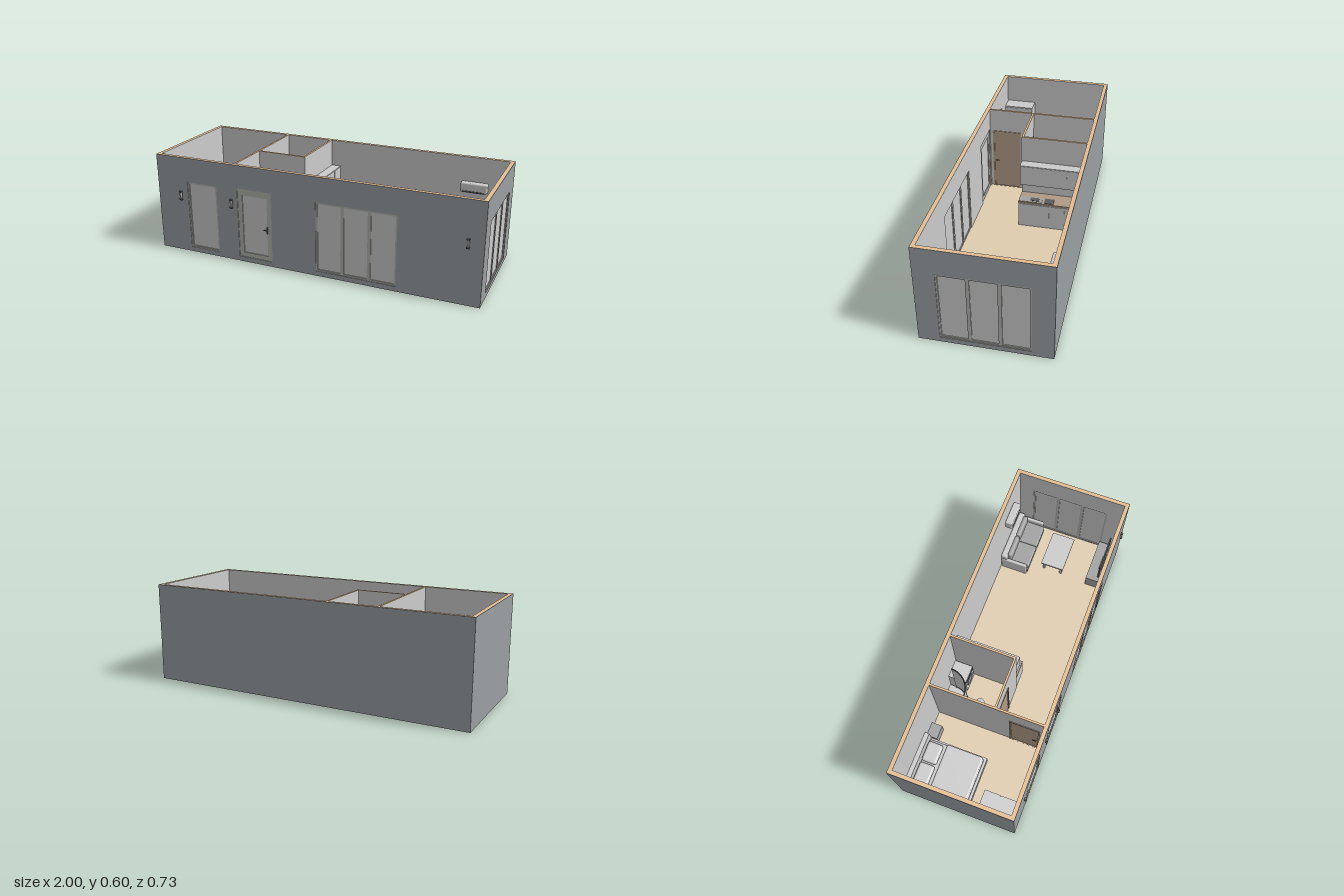
import * as THREE from 'three';
import { RoundedBoxGeometry } from 'three/addons/geometries/RoundedBoxGeometry.js';

const mat = (color) => new THREE.MeshStandardMaterial({ color });
const grey = mat(0xcccccc), cladding = mat(0x9a9fa2), wood = mat(0xe6bd8c), floorWood = mat(0xe0cdb0);
const frameMat = mat(0xb2b4ae), brown = mat(0xb09a86), dark = mat(0x5c5d5e), mid = mat(0xa2a2a2);

const BACK = -0.367, FRONT = 0.353, H = 0.6, FLOOR = 0.03, T = 0.024;

function add(parent, name, geometry, material, x = 0, y = 0, z = 0) {
  const m = new THREE.Mesh(geometry, material);
  m.name = name;
  m.position.set(x, y, z);
  parent.add(m);
  return m;
}

// Box given by its limits; r rounds the edges
function box(parent, name, x0, x1, y0, y1, z0, z1, material = grey, r = 0) {
  const s = [x1 - x0, y1 - y0, z1 - z0];
  const g = r ? new RoundedBoxGeometry(...s, 3, r) : new THREE.BoxGeometry(...s);
  return add(parent, name, g, material, (x0 + x1) / 2, (y0 + y1) / 2, (z0 + z1) / 2);
}

function group(parent, name) {
  const g = new THREE.Group();
  g.name = name;
  parent.add(g);
  return g;
}

// Upright panel with rectangular holes [x0, x1, y0, y1]
function panel(x0, x1, y0, y1, holes, depth) {
  const rect = (C, a, b, c, d) => new C([[a, c], [b, c], [b, d], [a, d]].map(p => new THREE.Vector2(...p)));
  const shape = rect(THREE.Shape, x0, x1, y0, y1);
  holes.forEach(h => shape.holes.push(rect(THREE.Path, ...h)));
  return new THREE.ExtrudeGeometry(shape, { depth, bevelEnabled: false });
}

// Framed glazing filling an opening, with equal panes
function glazing(parent, name, [x0, x1, y0, y1], panes, edge, bar, low = edge, high = edge) {
  const g = group(parent, name);
  const w = (x1 - x0 - 2 * edge - (panes - 1) * bar) / panes;
  const holes = [];
  for (let i = 0; i < panes; i++) {
    const a = x0 + edge + i * (w + bar);
    holes.push([a, a + w, y0 + low, y1 - high]);
    box(g, 'glassPane', a, a + w, y0 + low, y1 - high, -0.014, -0.009);
  }
  add(g, 'frame', panel(x0, x1, y0, y1, holes, 0.015), frameMat, 0, 0, -0.019);
  return g;
}

// Layered wall, outer face on local z = 0 facing +z
function wall(parent, name, length, holes = []) {
  const g = group(parent, name), h = length / 2;
  [['cladding', cladding, 0, 0, 0.003], ['timberCore', wood, 0.003, 0.003, 0.018], ['lining', grey, 0.02, 0.021, 0.003]]
    .forEach(([n, m, inset, back, d]) =>
      add(g, n, panel(-h + inset, h - inset, 0, H, holes, d), m, 0, 0, -back - d));
  return g;
}

function outerWalls(house) {
  const single = [-0.79, -0.59, 0.03, 0.45], door = [-0.45, -0.23, 0.03, 0.46], slide = [0.05, 0.53, 0.03, 0.45];
  const front = wall(house, 'frontWall', 2, [single, door, slide]);
  front.position.z = FRONT;
  glazing(front, 'narrowWindow', single, 1, 0.01, 0);
  glazing(front, 'slidingWindow', slide, 3, 0.01, 0.02);
  const leaf = glazing(front, 'entranceDoor', door, 1, 0.03, 0, 0.03, 0.04);
  box(leaf, 'handleRose', -0.262, -0.255, 0.205, 0.245, -0.005, 0.002, dark);
  box(leaf, 'handleStem', -0.26, -0.256, 0.228, 0.233, 0, 0.012, dark);
  box(leaf, 'handleLever', -0.275, -0.256, 0.228, 0.233, 0.01, 0.013, dark);

  // Wall lamps
  for (const x of [-0.84, -0.49, 0.915]) {
    const lamp = group(front, 'wallLamp');
    box(lamp, 'backPlate', x - 0.006, x + 0.006, 0.34, 0.38, 0, 0.003, dark);
    box(lamp, 'lampBody', x - 0.005, x + 0.005, 0.342, 0.378, 0.003, 0.012);
    for (const y of [0.332, 0.38]) box(lamp, 'lampCap', x - 0.008, x + 0.008, y, y + 0.007, 0, 0.014, dark);
  }

  const back = wall(house, 'backWall', 2);
  back.position.z = BACK;
  back.rotation.y = Math.PI;

  const mz = (FRONT + BACK) / 2;
  const opening = [-0.242, 0.243, 0.03, 0.45];
  const left = wall(house, 'leftWall', FRONT - BACK, [opening]);
  left.position.set(1, 0, mz);
  left.rotation.y = Math.PI / 2;
  glazing(left, 'sideWindow', opening, 3, 0.01, 0.02);
  const right = wall(house, 'rightWall', FRONT - BACK);
  right.position.set(-1, 0, mz);
  right.rotation.y = -Math.PI / 2;
}

// Inner wall along its own x, with a timber cap and optional doorway
function partition(parent, name, length, x, z, turned, doorway) {
  const g = group(parent, name);
  const holes = doorway ? [[...doorway, FLOOR + 0.001, 0.45]] : [];
  add(g, 'partitionPanel', panel(0, length, FLOOR, H - 0.003, holes, 0.012), grey, 0, 0, -0.006);
  box(g, 'partitionCap', 0, length, H - 0.003, H, -0.006, 0.006, wood);
  if (doorway) {
    const [a, b] = doorway;
    add(g, 'doorFrame', panel(a, b, FLOOR, 0.45, [[a + 0.01, b - 0.01, FLOOR + 0.002, 0.44]], 0.02), brown, 0, 0, -0.01);
    box(g, 'doorLeaf', a + 0.01, b - 0.01, FLOOR, 0.44, -0.004, 0.004, brown);
    for (const s of [-1, 1]) box(g, 'doorHandle', b - 0.04, b - 0.015, 0.23, 0.235, s * 0.015 - 0.003, s * 0.015 + 0.003, dark);
  }
  g.position.set(x, 0, z);
  if (turned) g.rotation.y = -Math.PI / 2;
}

function bedroom(house) {
  const bed = group(house, 'bed');
  box(bed, 'bedBase', -0.97, -0.655, 0.045, 0.09, -0.34, 0.05);
  box(bed, 'headboard', -0.97, -0.655, FLOOR, 0.2, -0.342, -0.315);
  box(bed, 'mattress', -0.955, -0.67, 0.09, 0.13, -0.312, 0.035, grey, 0.012);
  box(bed, 'blanket', -0.96, -0.665, 0.1, 0.136, -0.2, 0.03, grey, 0.01);
  for (const x of [-0.94, -0.808]) box(bed, 'pillow', x, x + 0.123, 0.125, 0.157, -0.31, -0.215, grey, 0.015);
  for (const x of [-0.965, -0.68]) for (const z of [-0.3, 0.025]) box(bed, 'bedFoot', x, x + 0.02, FLOOR, 0.045, z, z + 0.02, dark);
  box(house, 'nightstand', -0.655, -0.57, FLOOR, 0.12, -0.342, -0.275, mid);

  const wardrobe = group(house, 'wardrobe');
  box(wardrobe, 'wardrobeBody', -0.975, -0.88, FLOOR, 0.42, 0.135, 0.326);
  for (const z of [0.135, 0.232]) box(wardrobe, 'wardrobeDoor', -0.88, -0.875, 0.04, 0.415, z, z + 0.094);
  for (const z of [0.215, 0.24]) box(wardrobe, 'wardrobeHandle', -0.875, -0.865, 0.19, 0.25, z, z + 0.005, dark);
}

function bathroom(house) {
  // Quarter-round shower with a curved screen
  const shower = group(house, 'shower');
  shower.position.set(-0.462, FLOOR, -0.341);
  const q = new THREE.Shape();
  q.moveTo(0, 0).lineTo(0.17, 0).lineTo(0.17, 0.04);
  q.absarc(0.04, 0.04, 0.13, 0, Math.PI / 2).lineTo(0, 0.17);
  const tray = add(shower, 'showerTray', new THREE.ExtrudeGeometry(q, { depth: 0.025, bevelEnabled: false, curveSegments: 24 }), grey, 0, 0.025, 0);
  tray.rotation.x = Math.PI / 2;
  const screen = new THREE.CylinderGeometry(0.128, 0.128, 0.36, 24, 1, true, 0, Math.PI / 2);
  add(shower, 'showerScreen', screen, new THREE.MeshStandardMaterial({ color: 0xcccccc, side: THREE.DoubleSide }), 0.04, 0.205, 0.04);
  for (const y of [0.03, 0.385]) {
    const rail = add(shower, 'screenRail', new THREE.TorusGeometry(0.128, 0.004, 6, 24, Math.PI / 2), dark, 0.04, y, 0.04);
    rail.rotation.x = Math.PI / 2;
  }

  const washer = group(house, 'washingMachine');
  box(washer, 'washerBody', -0.285, -0.175, FLOOR, 0.2, -0.342, -0.23);
  const ring = add(washer, 'washerDoor', new THREE.TorusGeometry(0.035, 0.007, 8, 24), mid, -0.23, 0.11, -0.23);
  ring.scale.z = 0.6;
  box(washer, 'controlStrip', -0.28, -0.18, 0.175, 0.193, -0.23, -0.226, dark);

  const toilet = group(house, 'toilet');
  box(toilet, 'cistern', -0.463, -0.432, 0.1, 0.19, -0.155, -0.075, grey, 0.006);
  const bowl = new THREE.LatheGeometry([[0, 0], [0.022, 0], [0.02, 0.03], [0.036, 0.07], [0.037, 0.08], [0, 0.083]]
    .map(p => new THREE.Vector2(...p)), 24);
  add(toilet, 'bowl', bowl, grey, -0.378, FLOOR, -0.115).scale.x = 1.5;

  const basin = group(house, 'washbasin');
  box(basin, 'vanity', -0.463, -0.405, FLOOR, 0.19, -0.05, 0.035);
  const dish = new THREE.LatheGeometry([[0, 0], [0.025, 0.005], [0.035, 0.025], [0.031, 0.025], [0.022, 0.01], [0, 0.006]]
    .map(p => new THREE.Vector2(...p)), 24);
  add(basin, 'dish', dish, grey, -0.427, 0.19, -0.008);
  box(basin, 'tap', -0.46, -0.435, 0.225, 0.23, -0.011, -0.005, dark);
}

function kitchen(house) {
  const k = group(house, 'kitchen');
  box(k, 'baseCabinets', -0.155, -0.045, FLOOR, 0.2, -0.342, 0.05);
  box(k, 'worktop', -0.155, -0.04, 0.2, 0.21, -0.342, 0.05, brown);
  box(k, 'hob', -0.1, -0.048, 0.21, 0.213, -0.168, -0.11, dark);
  box(k, 'sinkRim', -0.1, -0.045, 0.21, 0.213, -0.095, 0.045, mid);
  box(k, 'sinkBowl', -0.093, -0.06, 0.212, 0.2145, -0.075, -0.02, dark);
  box(k, 'wallCabinets', -0.155, -0.095, 0.3, 0.435, -0.342, 0.05);
  for (let i = 0; i < 4; i++) {
    const z = -0.335 + i * 0.096;
    box(k, 'cabinetDoor', -0.045, -0.041, 0.05, 0.195, z, z + 0.09);
    box(k, 'wallCabinetDoor', -0.095, -0.092, 0.303, 0.432, z, z + 0.09);
  }
}

function livingRoom(house) {
  const sofa = group(house, 'sofa');
  box(sofa, 'sofaBase', 0.62, 0.95, 0.045, 0.08, -0.34, -0.16);
  box(sofa, 'sofaBack', 0.61, 0.96, 0.045, 0.17, -0.342, -0.3, grey, 0.01);
  for (const x of [0.605, 0.943]) box(sofa, 'armrest', x, x + 0.022, FLOOR, 0.135, -0.34, -0.165, grey, 0.008);
  for (const x of [0.628, 0.786]) {
    box(sofa, 'seatCushion', x, x + 0.156, 0.08, 0.112, -0.29, -0.155, mid, 0.01);
    box(sofa, 'backCushion', x, x + 0.156, 0.105, 0.175, -0.305, -0.275, mid, 0.012);
  }
  const table = group(house, 'coffeeTable');
  box(table, 'tableTop', 0.68, 0.92, 0.1, 0.112, -0.085, 0.065);
  for (const x of [0.69, 0.895]) for (const z of [-0.075, 0.04]) box(table, 'tableLeg', x, x + 0.015, FLOOR, 0.1, z, z + 0.015);

  const media = group(house, 'mediaUnit');
  box(media, 'lowCabinet', 0.675, 0.96, FLOOR, 0.12, 0.225, 0.326, mid);
  box(media, 'screenStand', 0.77, 0.86, 0.12, 0.126, 0.28, 0.315, dark);
  box(media, 'screen', 0.7, 0.93, 0.13, 0.265, 0.293, 0.302, dark);

  const cooler = group(house, 'airConditioner');
  box(cooler, 'coolerBody', 0.7, 0.86, 0.39, 0.45, -0.343, -0.298, grey, 0.008);
  box(cooler, 'airOutlet', 0.715, 0.845, 0.395, 0.403, -0.305, -0.296, dark);
}

export function createModel() {
  const house = new THREE.Group();
  house.name = 'cabin';
  outerWalls(house);
  box(house, 'floorBase', -0.979, 0.979, 0.001, 0.02, BACK + 0.021, FRONT - 0.021, dark);
  box(house, 'floorBoards', -1 + T, 1 - T, 0.02, FLOOR, BACK + T, FRONT - T, floorWood);

  // Inner walls
  partition(house, 'bedroomPartition', FRONT - BACK - 2 * T, -0.47, BACK + T, true, [0.47, 0.655]);
  partition(house, 'bathroomSideWall', 0.395, -0.162, BACK + T, true);
  partition(house, 'bathroomFrontWall', 0.296, -0.464, 0.046, false, [0.02, 0.17]);

  bedroom(house);
  bathroom(house);
  kitchen(house);
  livingRoom(house);
  return house;
}
